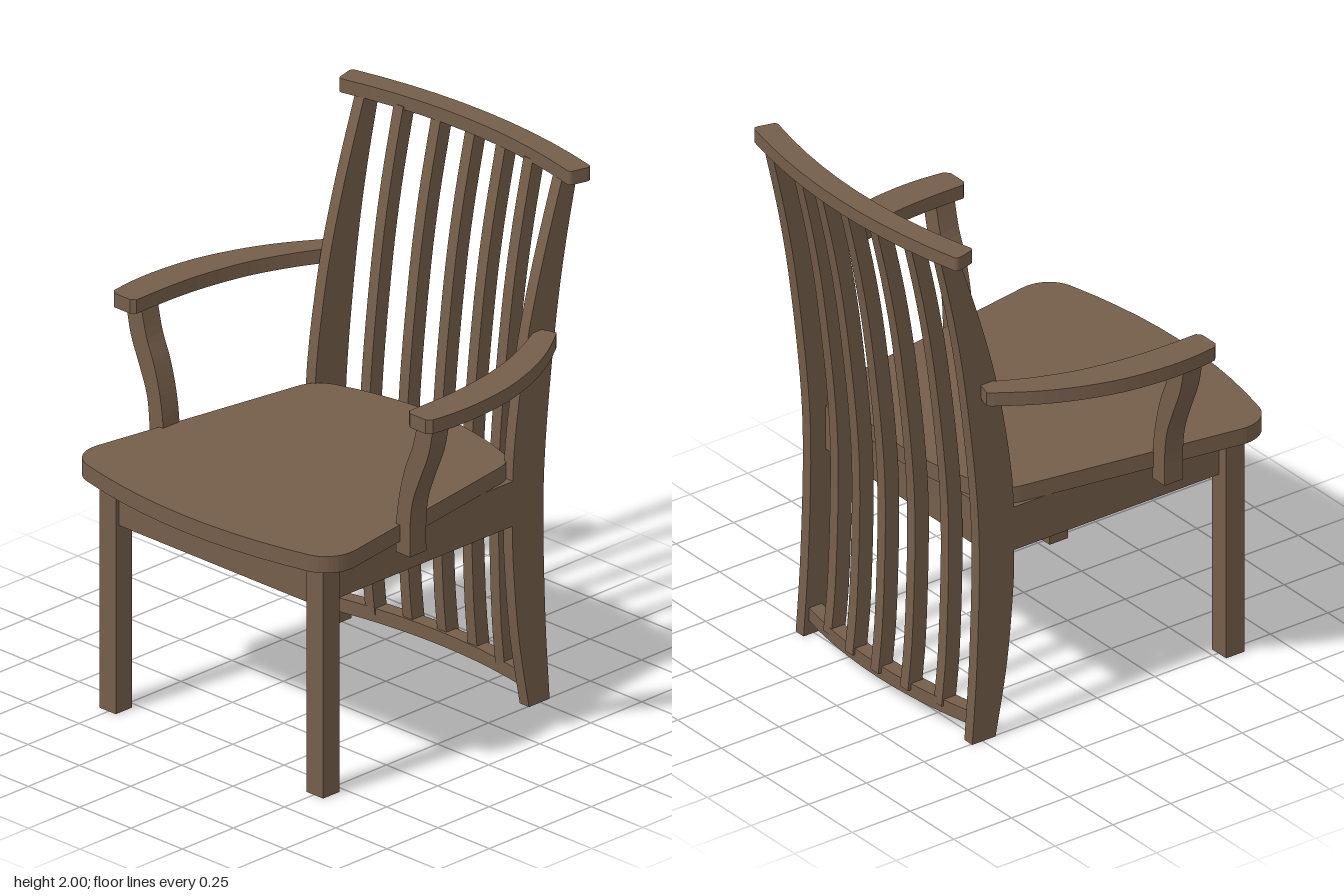
import * as THREE from 'three';

const wood = new THREE.MeshStandardMaterial({ color: 0x755e4a });
wood.name = 'brown wood';

const vecs = (pts) => pts.map(([a, b]) => new THREE.Vector2(a, b));
const spline = (pts, n = 16) => new THREE.SplineCurve(vecs(pts)).getPoints(n);

export function createModel() {
  const chair = new THREE.Group();
  chair.name = 'armchair';

  const add = (name, geometry) => {
    const mesh = new THREE.Mesh(geometry, wood);
    mesh.name = name;
    chair.add(mesh);
  };
  const extrude = (shape, depth) =>
    new THREE.ExtrudeGeometry(shape, { depth, bevelEnabled: false, curveSegments: 10 });

  // Outline in x and z, thickened from y0 up to y1
  const slab = (name, shape, y0, y1) =>
    add(name, extrude(shape, y1 - y0).rotateX(Math.PI / 2).translate(0, y1, 0));
  // Outline in z and y, thickened around x
  const profile = (name, shape, x, width) =>
    add(name, extrude(shape, width).rotateY(-Math.PI / 2).translate(x + width / 2, 0, 0));
  // Box given by its limits
  const box = (name, x0, x1, y0, y1, z0, z1) =>
    add(name, new THREE.BoxGeometry(x1 - x0, y1 - y0, z1 - z0)
      .translate((x0 + x1) / 2, (y0 + y1) / 2, (z0 + z1) / 2));

  // Seat: tapered, bowed front and back, rounded corners
  const seat = new THREE.Shape();
  seat.moveTo(-0.54, 0.672);
  seat.quadraticCurveTo(0, 0.808, 0.54, 0.672);
  seat.bezierCurveTo(0.60, 0.655, 0.638, 0.60, 0.628, 0.53);
  seat.lineTo(0.49, -0.32);
  seat.quadraticCurveTo(0.477, -0.385, 0.41, -0.412);
  seat.quadraticCurveTo(0, -0.554, -0.41, -0.412);
  seat.quadraticCurveTo(-0.477, -0.385, -0.49, -0.32);
  seat.lineTo(-0.628, 0.53);
  seat.bezierCurveTo(-0.638, 0.60, -0.60, 0.655, -0.54, 0.672);
  slab('seat', seat, 0.88, 0.943);

  // Aprons under the seat
  box('frontApron', -0.466, 0.466, 0.71, 0.88, 0.545, 0.59);
  box('backApron', -0.46, 0.46, 0.71, 0.88, -0.45, -0.405);

  // Side curves of the back, as [z, y]
  const postFront = [[-0.444, 0], [-0.395, 0.27], [-0.368, 0.55], [-0.364, 0.72],
    [-0.372, 1.0], [-0.43, 1.36], [-0.51, 1.66], [-0.61, 1.96]];
  const backCurve = [[-0.545, 0], [-0.525, 0.3], [-0.514, 0.7], [-0.527, 1.0],
    [-0.573, 1.4], [-0.62, 1.68], [-0.683, 1.96]];

  for (const s of [-1, 1]) {
    const side = s > 0 ? 'left' : 'right';
    const [a, b] = s > 0 ? [0.465, 0.545] : [-0.545, -0.465];
    box(side + 'FrontLeg', a, b, 0, 0.88, 0.525, 0.605);
    box(side + 'Apron', s * 0.4825 - 0.0225, s * 0.4825 + 0.0225, 0.71, 0.88, -0.40, 0.525);

    // Back leg continuing up as the outer post
    profile(side + 'BackPost',
      new THREE.Shape([...spline(postFront, 28), ...spline(backCurve, 28).reverse()]),
      s * 0.4825, 0.045);

    // Swept armrest
    const m = (pts) => pts.map(([x, z]) => [s * x, z]);
    const outer = spline(m([[0.575, -0.505], [0.655, -0.38], [0.72, -0.24], [0.768, -0.08],
      [0.788, 0.08], [0.788, 0.2], [0.777, 0.3]]), 20);
    const inner = spline(m([[0.664, 0.303], [0.664, 0.13], [0.65, -0.03], [0.615, -0.2],
      [0.56, -0.35], [0.5, -0.47]]), 20);
    slab(side + 'Armrest', new THREE.Shape([
      ...outer, ...vecs(m([[0.758, 0.318], [0.682, 0.318]])),
      ...inner, ...vecs(m([[0.495, -0.505], [0.56, -0.524]])),
    ]), 1.357, 1.41);

    // S-shaped arm support beside the seat
    const supportOuter = spline(m([[0.635, 0.835], [0.635, 0.95], [0.648, 1.05],
      [0.685, 1.15], [0.725, 1.25], [0.748, 1.36]]), 20);
    const supportInner = spline(m([[0.672, 1.36], [0.648, 1.26], [0.612, 1.17],
      [0.583, 1.06], [0.568, 0.95], [0.566, 0.835]]), 20);
    add(side + 'ArmSupport',
      extrude(new THREE.Shape([...supportOuter, ...supportInner]), 0.08).translate(0, 0, 0.19));
  }

  // Five curved slats, set further back towards the middle
  for (let i = -2; i <= 2; i++) {
    const x = i * 0.158;
    const back = backCurve.map(([z, y]) =>
      [z - 0.042 + 0.35 * x * x, Math.max(y, 0.08)]);
    const front = back.map(([z, y]) => [z + 0.06, y]).reverse();
    profile('backSlat', new THREE.Shape([...spline(back, 28), ...spline(front, 28)]), x, 0.045);
  }

  // Bowed top rail with eased ends
  const top = new THREE.Shape();
  top.moveTo(-0.57, -0.674);
  top.quadraticCurveTo(0, -0.81, 0.57, -0.674);
  top.quadraticCurveTo(0.584, -0.67, 0.581, -0.652);
  top.lineTo(0.567, -0.598);
  top.quadraticCurveTo(0.562, -0.583, 0.546, -0.587);
  top.quadraticCurveTo(0, -0.725, -0.546, -0.587);
  top.quadraticCurveTo(-0.562, -0.583, -0.567, -0.598);
  top.lineTo(-0.581, -0.652);
  top.quadraticCurveTo(-0.584, -0.67, -0.57, -0.674);
  slab('topRail', top, 1.948, 2);

  // Bowed bottom rail between the back legs
  const low = new THREE.Shape();
  low.moveTo(-0.465, -0.52);
  low.quadraticCurveTo(0, -0.626, 0.465, -0.52);
  low.lineTo(0.465, -0.465);
  low.quadraticCurveTo(0, -0.563, -0.465, -0.465);
  slab('bottomRail', low, 0.053, 0.105);

  return chair;
}
